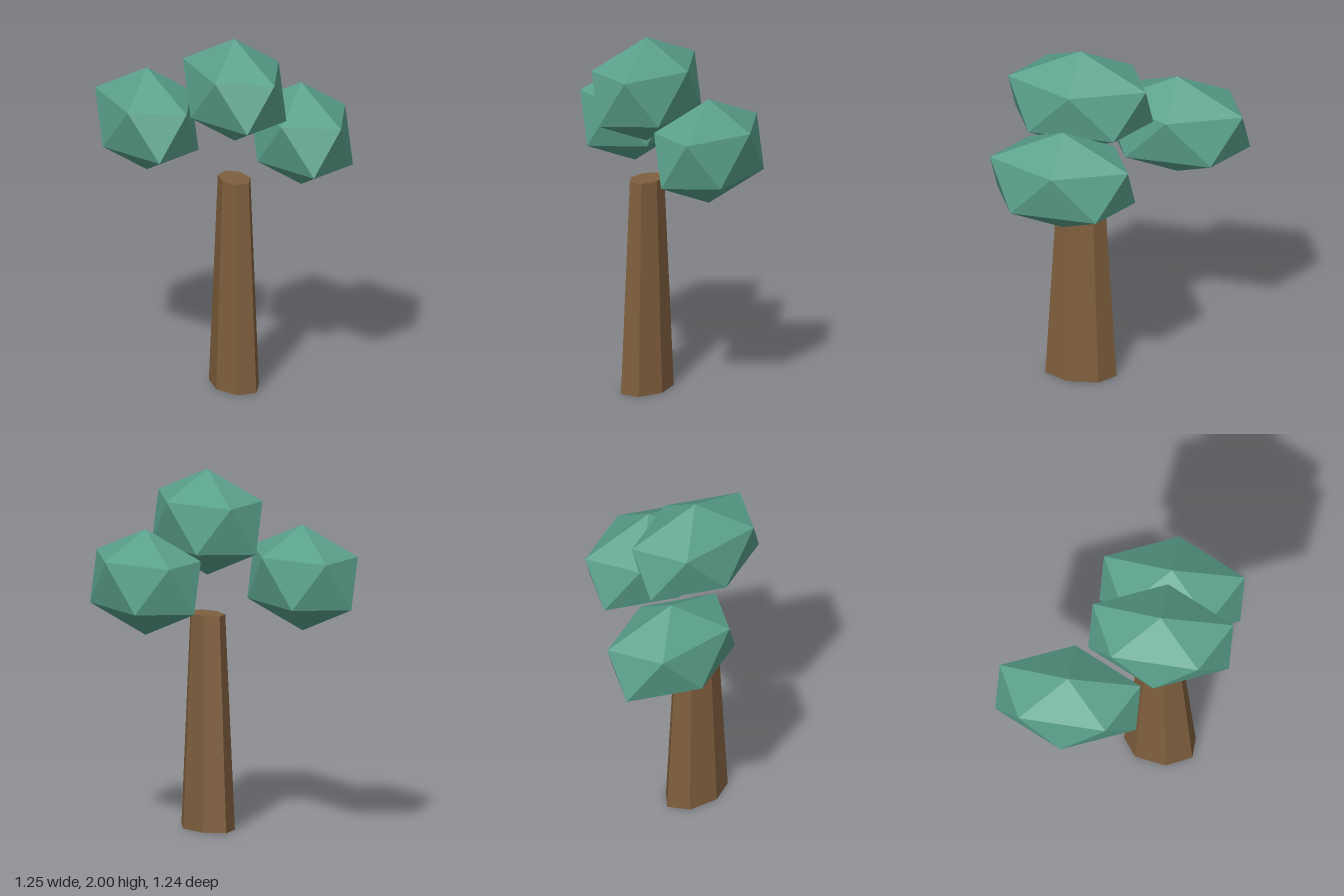
import * as THREE from 'three';

const foliage = new THREE.MeshStandardMaterial({ color: 0x5aa08b });
foliage.name = 'foliage green';
foliage.flatShading = true;
const bark = new THREE.MeshStandardMaterial({ color: 0x7f5f3e });
bark.name = 'bark brown';
bark.flatShading = true;

// Everything is stretched front to back by the same factor
const STRETCH = 1.585;

export function createModel() {
  const tree = new THREE.Group();
  tree.name = 'tree';

  // Tapered seven-sided trunk, flat side to the front
  const trunkShape = new THREE.CylinderGeometry(0.084, 0.129, 1.195, 7, 1, false, Math.PI);
  trunkShape.scale(1, 1, STRETCH);
  const trunk = new THREE.Mesh(trunkShape, bark);
  trunk.name = 'trunk';
  trunk.position.set(-0.031, 0.5975, 0.231);
  tree.add(trunk);

  // Leaf clump: icosahedron turned to stand on a corner, then stretched
  const clumpShape = new THREE.IcosahedronGeometry(1, 0);
  clumpShape.rotateZ(-Math.atan(2 / (1 + Math.sqrt(5))));
  clumpShape.scale(0.29, 0.295, 0.29 * STRETCH);
  clumpShape.computeVertexNormals();

  const clumps = {
    topLeaves: [-0.03, 1.705, 0.23],
    leftLeaves: [0.363, 1.405, 0.23],
    rightLeaves: [-0.365, 1.435, -0.232],
  };
  for (const [name, position] of Object.entries(clumps)) {
    const clump = new THREE.Mesh(clumpShape, foliage);
    clump.name = name;
    clump.position.set(...position);
    tree.add(clump);
  }
  return tree;
}
